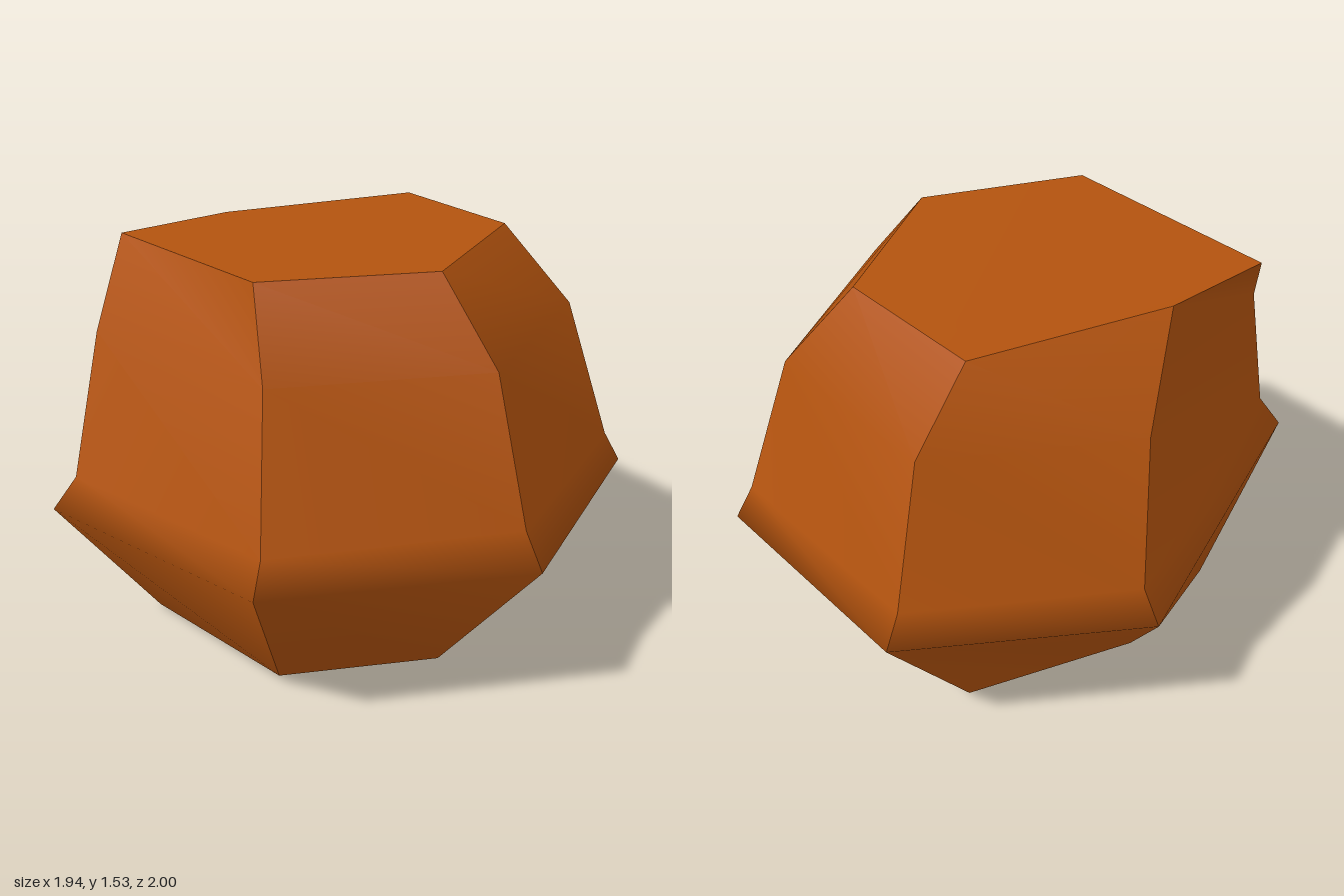
import * as THREE from 'three';

// Six upright edges of the boulder, each from base to top: [x, y, z]
const EDGES = [
  [[-0.35, 0.03, -0.58], [-0.37, 0.57, -1.0], [-0.36, 0.69, -0.93], [-0.33, 1.23, -0.79], [-0.37, 1.53, -0.59]],
  [[0.23, 0.03, -0.5], [0.55, 0.57, -0.87], [0.52, 0.69, -0.81], [0.41, 1.23, -0.68], [0.22, 1.53, -0.51]],
  [[0.5, 0.03, 0.09], [0.97, 0.57, 0.08], [0.89, 0.7, 0.08], [0.74, 1.23, 0.08], [0.5, 1.53, 0.11]],
  [[0.19, 0.03, 0.6], [0.46, 0.57, 0.92], [0.43, 0.69, 0.86], [0.33, 1.23, 0.75], [0.17, 1.53, 0.65]],
  [[-0.58, 0, 0.58], [-0.62, 0.55, 1.0], [-0.56, 0.68, 0.93], [-0.55, 1.22, 0.8], [-0.7, 1.51, 0.57]],
  [[-0.63, 0.015, 0.04], [-0.97, 0.56, -0.29], [-0.9, 0.69, -0.29], [-0.81, 1.23, -0.19], [-0.65, 1.52, 0.12]],
];

function surface(points, index) {
  const geometry = new THREE.BufferGeometry();
  geometry.setAttribute('position', new THREE.Float32BufferAttribute(points.flat(), 3));
  geometry.setIndex(index);
  geometry.computeVertexNormals();
  return geometry;
}

// One side strip between neighbouring edges, smooth along its height
function sideGeometry(a, b) {
  const n = a.length, index = [];
  for (let j = 0; j < n - 1; j++) {
    index.push(j, j + 1, n + j + 1, j, n + j + 1, n + j);
  }
  return surface([...a, ...b], index);
}

// Flat end closing the six edges at one level
function capGeometry(level, up) {
  const index = [];
  for (let k = 1; k < EDGES.length - 1; k++) {
    index.push(0, up ? k + 1 : k, up ? k : k + 1);
  }
  return surface(EDGES.map((e) => e[level]), index);
}

export function createModel() {
  const rock = new THREE.MeshStandardMaterial({ color: 0xb3530e });
  rock.name = 'rust orange rock';
  const boulder = new THREE.Group();
  boulder.name = 'boulder';
  const add = (name, geometry) => {
    const mesh = new THREE.Mesh(geometry, rock);
    mesh.name = name;
    boulder.add(mesh);
  };

  EDGES.forEach((edge, i) => add('side' + (i + 1), sideGeometry(edge, EDGES[(i + 1) % EDGES.length])));
  add('topFace', capGeometry(4, true));
  add('baseFace', capGeometry(0, false));
  return boulder;
}
